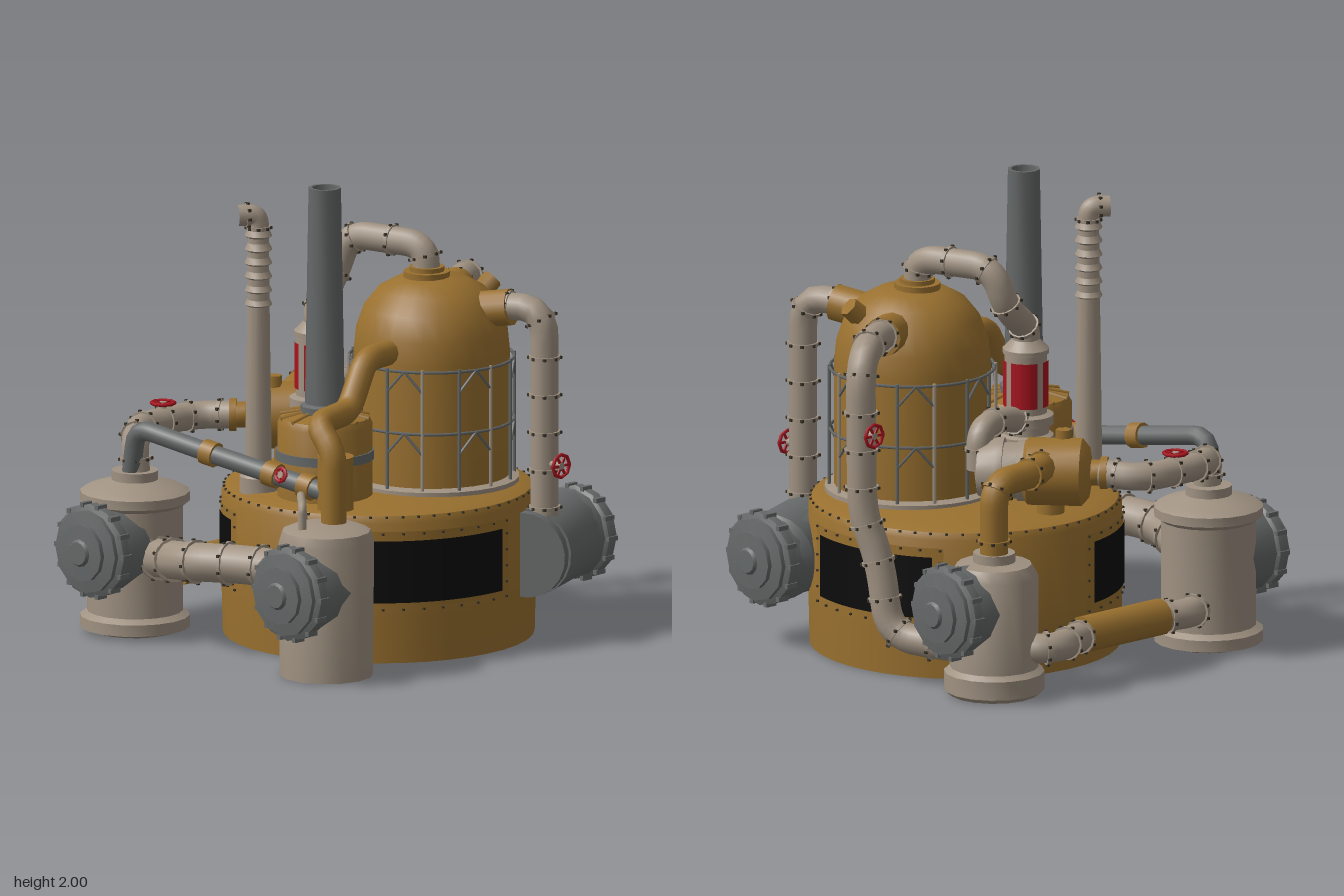
import * as THREE from 'three';
import { mergeGeometries, toCreasedNormals } from 'three/addons/utils/BufferGeometryUtils.js';

const mat = (name, color) => Object.assign(new THREE.MeshStandardMaterial({ color }), { name });
const brass = mat('brass', 0x99702f), stone = mat('pale metal', 0xa09282), steel = mat('grey steel', 0x666969);
const black = mat('window black', 0x0c0c0c), dark = mat('dark bolts', 0x3a3429), red = mat('valve red', 0xa8141f);
const V = (a) => new THREE.Vector3(...a);
const UP = new THREE.Vector3(0, 1, 0);

export function createModel() {
  const root = new THREE.Group();
  const bolts = [];
  const add = (name, geo, material, pos = [0, 0, 0], dir) => {
    const m = new THREE.Mesh(geo, material);
    m.name = name;
    m.position.set(...pos);
    if (dir) m.quaternion.setFromUnitVectors(UP, V(dir).normalize());
    root.add(m);
    return m;
  };
  // solid of revolution from [radius, height] pairs, standing along dir
  const lathe = (name, prof, material, pos, seg = 24, dir) =>
    add(name, toCreasedNormals(new THREE.LatheGeometry(prof.map((p) => new THREE.Vector2(...p)), seg), 0.65), material, pos, dir);
  // straight round bar between two points
  const bar = (name, a, b, r, material, r2 = r, seg = 12) => {
    const d = V(b).sub(V(a)), mid = V(a).add(V(b)).multiplyScalar(0.5);
    return add(name, new THREE.CylinderGeometry(r2, r, d.length(), seg), material, mid.toArray(), d.toArray());
  };
  const bolt = (p, s = 0.012) => bolts.push(new THREE.BoxGeometry(s, s, s).translate(p.x, p.y, p.z));
  // flange ring with bolts around it
  const collar = (p, t, r, material) => {
    add('pipeCollar', new THREE.CylinderGeometry(r * 1.13, r * 1.13, 0.016, 14), material, p.toArray(), t.toArray());
    const q = new THREE.Quaternion().setFromUnitVectors(UP, t);
    for (let i = 0; i < 8; i++) {
      const a = (i / 8) * Math.PI * 2;
      const o = new THREE.Vector3(Math.cos(a), 0, Math.sin(a)).multiplyScalar(r * 1.12).applyQuaternion(q);
      bolt(o.add(p));
    }
  };
  // pipe through points with rounded corners and evenly spread collars
  const pipe = (name, pts, r, material, collars = 0, bend = 0.1) => {
    const P = pts.map(V), path = new THREE.CurvePath();
    let last = P[0];
    for (let i = 1; i < P.length - 1; i++) {
      const cut = (q) => {
        const d = q.clone().sub(P[i]), l = d.length();
        return P[i].clone().addScaledVector(d, Math.min(bend, l * 0.48) / l);
      };
      const a = cut(P[i - 1]), b = cut(P[i + 1]);
      path.add(new THREE.LineCurve3(last, a));
      path.add(new THREE.QuadraticBezierCurve3(a, P[i], b));
      last = b;
    }
    path.add(new THREE.LineCurve3(last, P[P.length - 1]));
    add(name, new THREE.TubeGeometry(path, pts.length * 8, r, 12), material);
    for (let i = 0; i < collars; i++) {
      const u = (i + 0.5) / collars;
      collar(path.getPointAt(u), path.getTangentAt(u).normalize(), r, material);
    }
  };
  // hand wheel on a short stem
  const wheel = (pos, dir, r = 0.05) => {
    const g = new THREE.Group();
    g.name = 'valveWheel';
    const rim = new THREE.Mesh(new THREE.TorusGeometry(r, 0.008, 6, 8).rotateX(Math.PI / 2), red);
    const stem = new THREE.Mesh(new THREE.CylinderGeometry(0.016, 0.016, 0.08, 8).translate(0, -0.035, 0), stone);
    g.add(rim, stem);
    for (let i = 0; i < 3; i++) {
      g.add(new THREE.Mesh(new THREE.BoxGeometry(r * 2, 0.008, 0.01).rotateY((i * Math.PI) / 3), red));
    }
    g.position.set(...pos);
    g.quaternion.setFromUnitVectors(UP, V(dir).normalize());
    root.add(g);
  };

  // main drum with three curved windows
  const C = [0.13, 0, 0.1];
  lathe('mainDrum', [[0, 0], [0.665, 0], [0.67, 0.2], [0.67, 0.61], [0.655, 0.64], [0.6, 0.66], [0, 0.67]], brass, C, 40);
  const shell = (name, r, h, y, mid, half, material) =>
    add(name, new THREE.CylinderGeometry(r, r, h, 14, 1, true, mid - half, half * 2), material, [C[0], y, C[2]]);
  for (const deg of [-21, 100, 220]) {
    const a = (deg * Math.PI) / 180;
    shell('windowFrame', 0.674, 0.33, 0.41, a, 0.54, brass);
    shell('windowPane', 0.679, 0.27, 0.4, a, 0.47, black);
    const put = (t, y) => bolt(new THREE.Vector3(C[0] + 0.676 * Math.sin(t), y, C[2] + 0.676 * Math.cos(t)), 0.009);
    for (let i = 0; i <= 8; i++) for (const y of [0.235, 0.565]) put(a + (i / 4 - 1) * 0.52, y);
    for (let i = 0; i < 4; i++) for (const s of [-0.52, 0.52]) put(a + s, 0.3 + i * 0.07);
  }
  for (let i = 0; i < 60; i++) {
    const a = (i / 60) * Math.PI * 2;
    bolt(new THREE.Vector3(C[0] + 0.66 * Math.sin(a), 0.635, C[2] + 0.66 * Math.cos(a)), 0.009);
  }

  // domed boiler and its cage
  const D = [0.285, 0, 0.265];
  lathe('dome', [[0.335, 0.66], [0.335, 1.22], [0.325, 1.32], [0.29, 1.42], [0.23, 1.495], [0.15, 1.54], [0, 1.555]], brass, D, 28);
  lathe('domeFoot', [[0.33, 0.65], [0.375, 0.65], [0.375, 0.68], [0.335, 0.69]], stone, D, 28);
  for (const y of [0.93, 1.2]) {
    add('cageRing', new THREE.TorusGeometry(0.353, 0.007, 5, 28).rotateX(Math.PI / 2), steel, [D[0], y, D[2]]);
  }
  const onCage = (a, y) => [D[0] + 0.355 * Math.sin(a), y, D[2] + 0.355 * Math.cos(a)];
  for (let i = 0; i < 14; i++) {
    const a = (i / 14) * Math.PI * 2;
    bar('cagePost', onCage(a, 0.67), onCage(a, 1.21), 0.008, i % 3 ? steel : stone, 0.008, 5);
    const s = i % 2 ? 0.22 : -0.22;
    for (const y of [0.93, 1.2]) bar('cageBrace', onCage(a, y - 0.09), onCage(a + s, y), 0.006, steel, 0.006, 5);
  }
  lathe('domeTopCollar', [[0.1, 1.53], [0.1, 1.57], [0.075, 1.57], [0.075, 1.59], [0, 1.59]], brass, [0.27, 0, 0.25], 14);
  bar('domeNozzle', [0.5, 1.42, 0.31], [0.585, 1.5, 0.335], 0.05, brass, 0.045, 6);

  // chimney on its ribbed boiler
  const K = [-0.25, 0, 0.155];
  lathe('smallBoiler', [[0.205, 0.65], [0.205, 0.97], [0.19, 1.0], [0.1, 1.02], [0, 1.02]], brass, K, 20);
  lathe('boilerBand', [[0.2, 0.82], [0.212, 0.82], [0.212, 0.86], [0.2, 0.86]], steel, K, 20);
  for (let i = 0; i < 12; i++) {
    const a = (i / 12) * Math.PI * 2, s = Math.sin(a), c = Math.cos(a);
    bar('boilerRib', [K[0] + s * 0.08, 1.025, K[2] + c * 0.08], [K[0] + s * 0.195, 1.0, K[2] + c * 0.195], 0.01, brass, 0.01, 4);
  }
  lathe('chimney', [[0.105, 1.0], [0.105, 1.05], [0.086, 1.06], [0.07, 2], [0.055, 2], [0.055, 1.9], [0, 1.9]], steel, K, 10);

  // hooked vent pipe
  lathe('ventFoot', [[0.085, 0.65], [0.085, 0.72], [0.065, 0.74]], stone, [-0.38, 0, -0.11], 14);
  bar('ventPipe', [-0.385, 0.66, -0.11], [-0.385, 1.8, -0.11], 0.06, stone, 0.045);
  pipe('ventHook', [[-0.385, 1.76, -0.11], [-0.385, 1.86, -0.11], [-0.46, 1.86, -0.16]], 0.046, stone, 2, 0.06);
  for (let i = 0; i < 6; i++) lathe('ventRing', [[0.045, 0], [0.06, 0.01], [0.045, 0.04]], stone, [-0.385, 1.46 + i * 0.06, -0.11], 12);
  for (const x of [-0.21, -0.17]) bar('rod', [x, 0.68, -0.25], [x, 0.78, -0.32], 0.006, steel, 0.006, 5);

  // upright filter with red panels
  const F = [-0.03, 0, -0.11];
  lathe('filter', [[0.12, 0.65], [0.12, 0.7], [0.09, 0.72], [0.09, 0.88], [0.12, 0.88], [0.12, 0.92], [0.1, 0.93], [0.1, 0.97],
    [0.12, 0.97], [0.12, 1.01], [0.092, 1.02], [0.092, 1.28], [0.1, 1.28], [0.1, 1.3], [0.06, 1.34], [0, 1.34]], stone, F, 18);
  for (let i = 0; i < 4; i++) {
    add('filterPanel', new THREE.CylinderGeometry(0.097, 0.097, 0.2, 6, 1, true, i * Math.PI / 2 + 0.15, 1.25), red, [F[0], 1.15, F[2]]);
  }
  pipe('topPipe', [[0.27, 1.54, 0.25], [0.27, 1.68, 0.24], [0.17, 1.69, -0.12], [0.12, 1.5, -0.16], [-0.03, 1.4, -0.11], [-0.03, 1.31, -0.11]], 0.06, stone, 5);
  pipe('filterLink', [[-0.03, 0.96, -0.13], [0.12, 1.03, -0.15], [0.33, 1.03, -0.22], [0.33, 0.85, -0.22]], 0.055, stone, 3);

  // slanting tank behind the dome
  lathe('slantTank', [[0, 0], [0.07, 0], [0.07, 0.03], [0.055, 0.03], [0.055, 0.07], [0.11, 0.08], [0.145, 0.11], [0.145, 0.34], [0.11, 0.37], [0, 0.37]],
    brass, [-0.04, 0.85, -0.63], 20, [0.68, 0, 0.73]);
  lathe('slantTankEnd', [[0.11, 0], [0.13, 0], [0.13, 0.03], [0.12, 0.03], [0.12, 0.09], [0.14, 0.09], [0.14, 0.12], [0.11, 0.2], [0, 0.22]],
    stone, [0.2, 0.85, -0.37], 18, [0.68, 0, 0.73]);
  bar('tankStand', [0.1, 0.65, -0.42], [0.1, 0.8, -0.42], 0.06, brass);
  bar('tankNozzle', [0.07, 0.96, -0.47], [0.07, 1.03, -0.47], 0.035, brass, 0.035, 6);
  pipe('brassElbowPipe', [[0.15, 0.88, -0.42], [0.34, 0.92, -0.62], [0.63, 0.92, -0.66], [0.63, 0.56, -0.66]], 0.062, brass, 4);

  // corner tanks
  lathe('frontTank', [[0, 0], [0.2, 0], [0.205, 0.58], [0.19, 0.63], [0.14, 0.65], [0, 0.65]], stone, [-0.645, 0, 0.56], 14);
  lathe('backTank', [[0, 0.03], [0.19, 0], [0.215, 0.02], [0.215, 0.1], [0.19, 0.12], [0.19, 0.52], [0.16, 0.57], [0.09, 0.58], [0.09, 0.62], [0, 0.62]],
    stone, [0.62, 0, -0.65], 16);
  lathe('flangedTank', [[0, 0.04], [0.17, 0], [0.235, 0.02], [0.235, 0.07], [0.205, 0.09], [0.205, 0.55], [0.235, 0.57], [0.235, 0.61], [0.2, 0.63],
    [0.1, 0.66], [0.1, 0.7], [0.07, 0.7], [0, 0.71]], stone, [-0.61, 0, -0.63], 18);
  lathe('slantDrum', [[0, 0], [0.185, 0], [0.185, 0.045], [0.17, 0.045], [0.17, 0.06], [0.19, 0.06], [0.19, 0.5], [0.15, 0.54], [0, 0.54]],
    steel, [0.36, 0.39, 0.75], 20, [0.92, 0, -0.4]);
  // stepped round covers on the outer sides
  for (const [s, z] of [[-1, 0.57], [1, 0.58], [-1, -0.62], [1, -0.62]]) {
    const x = s < 0 ? -0.62 : 0.605;
    lathe('sideCover', [[0, 0], [0.18, 0], [0.19, 0.22], [0.205, 0.23], [0.205, 0.27], [0.18, 0.28], [0.18, 0.3], [0.125, 0.31], [0.125, 0.33], [0.06, 0.335], [0.05, 0.348], [0, 0.348]],
      steel, [x, 0.39, z], 12, [s, 0, 0]);
    for (let i = 0; i < 14; i++) {
      const a = (i / 14) * Math.PI * 2;
      add('coverBolt', new THREE.BoxGeometry(0.055, 0.02, 0.02), steel, [x + s * 0.25, 0.39 + 0.2 * Math.sin(a), z + 0.2 * Math.cos(a)]);
    }
  }

  // large pipes from dome to corners
  bar('domeSocket', [0.38, 1.42, 0.48], [0.43, 1.44, 0.6], 0.08, brass);
  pipe('frontPipe', [[0.4, 1.44, 0.52], [0.48, 1.45, 0.75], [0.48, 0.5, 0.75]], 0.06, stone, 7, 0.13);
  wheel([0.47, 0.78, 0.86], [0, 0, 1]);
  bar('domeSocket', [0.5, 1.41, 0.15], [0.62, 1.42, 0.08], 0.085, brass);
  pipe('sidePipe', [[0.55, 1.42, 0.12], [0.76, 1.44, 0.0], [0.87, 1.36, -0.07], [0.87, 0.72, -0.08], [0.83, 0.52, -0.15],
    [0.82, 0.2, -0.2], [0.72, 0.18, -0.42], [0.62, 0.18, -0.6]], 0.065, stone, 12, 0.13);
  wheel([0.88, 1.08, -0.17], [0, 0, -1]);

  // brass pipe from dome to front tank
  pipe('brassPipe', [[0.02, 1.27, 0.31], [-0.2, 1.27, 0.35], [-0.33, 1.07, 0.38], [-0.57, 1.06, 0.43], [-0.58, 0.95, 0.54], [-0.58, 0.62, 0.54]], 0.055, brass, 0, 0.06);
  bar('brassCanister', [-0.45, 0.67, 0.42], [-0.45, 0.9, 0.42], 0.08, brass);
  pipe('tankHandle', [[-0.77, 0.62, 0.54], [-0.77, 0.75, 0.54], [-0.61, 0.75, 0.37], [-0.61, 0.63, 0.39]], 0.018, stone, 0, 0.03);

  // thin feed line along the side
  pipe('feedLine', [[-0.64, 0.7, -0.62], [-0.65, 0.9, -0.58], [-0.59, 0.84, -0.23], [-0.48, 0.74, 0.4]], 0.042, steel, 0, 0.08);
  for (const z of [-0.23, 0.09, 0.27]) {
    const t = (z + 0.23) / 0.63, p = [-0.59 + 0.11 * t, 0.84 - 0.1 * t, z];
    bar('feedCoupling', p, [p[0] + 0.011, p[1] - 0.01, z + 0.06], 0.055, brass);
  }
  wheel([-0.56, 0.8, 0.2], [-1, 0.3, 0], 0.03);

  // pipes linking the corner tanks
  pipe('valvePipe', [[-0.61, 0.68, -0.62], [-0.61, 0.82, -0.63], [-0.45, 0.84, -0.77], [-0.12, 0.84, -0.77], [-0.02, 0.85, -0.61]], 0.06, stone, 6);
  wheel([-0.3, 0.92, -0.77], [0, 1, 0]);
  pipe('longSidePipe', [[-0.65, 0.42, 0.45], [-0.69, 0.42, 0.15], [-0.78, 0.4, -0.16], [-0.63, 0.34, -0.5]], 0.085, stone, 6, 0.14);
  pipe('rearElbow', [[0.6, 0.2, -0.68], [0.47, 0.21, -0.87], [0.18, 0.2, -0.74]], 0.065, stone, 4);
  bar('rearSleeve', [0.2, 0.2, -0.74], [-0.25, 0.2, -0.73], 0.08, brass);
  pipe('rearElbow', [[-0.22, 0.2, -0.73], [-0.4, 0.2, -0.78], [-0.58, 0.2, -0.62]], 0.065, stone, 3);

  add('bolts', mergeGeometries(bolts), dark);
  return root;
}
